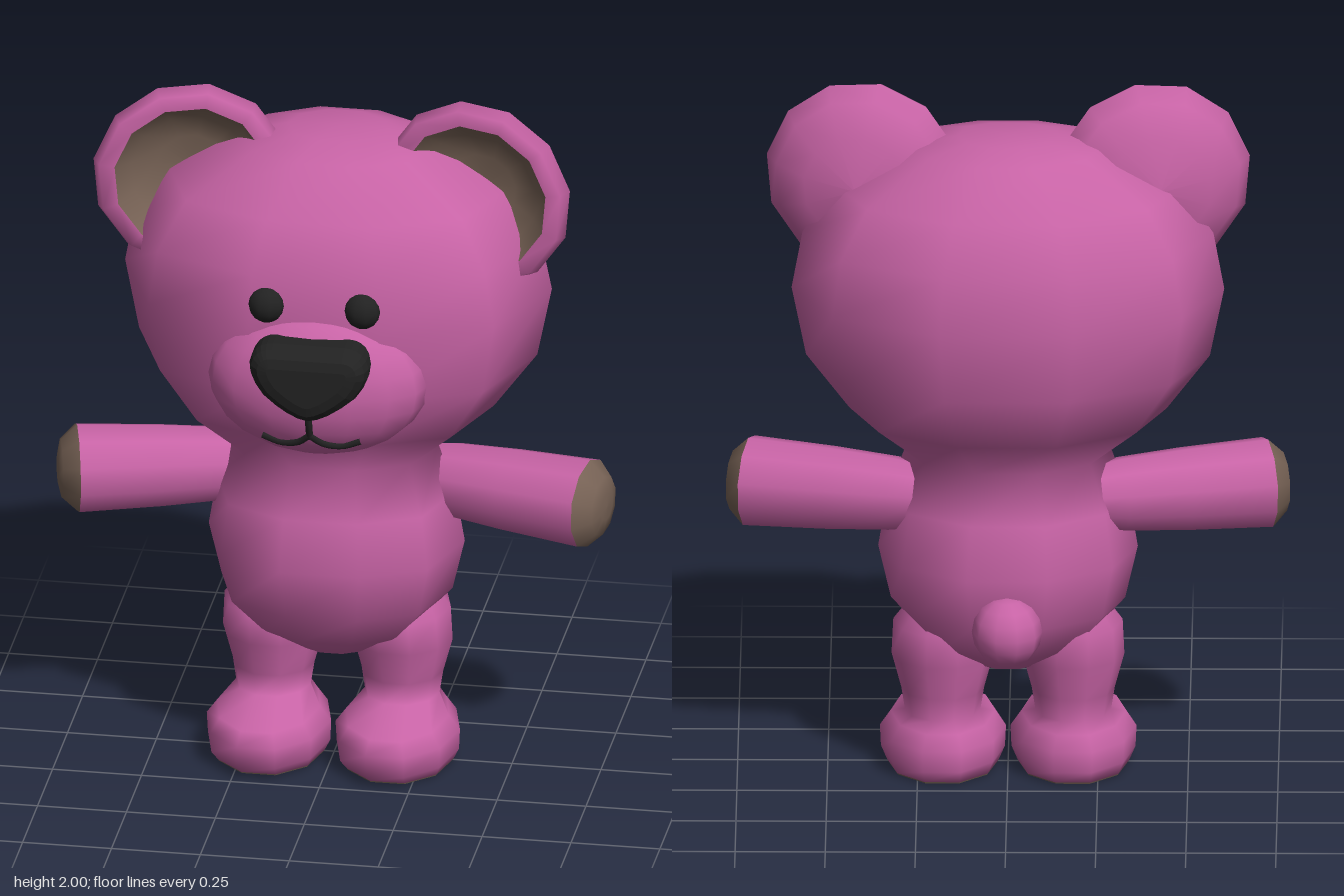
import * as THREE from 'three';

const pink = new THREE.MeshStandardMaterial({ color: 0xc763a5 });
pink.name = 'pink fur';
const brown = new THREE.MeshStandardMaterial({ color: 0x786356 });
brown.name = 'brown pads';
const black = new THREE.MeshStandardMaterial({ color: 0x222222 });
black.name = 'black features';

const SIDES = 10;

// Closed smooth loft through rings [y, rx, zFront, zBack], listed bottom to top
function loft(rings, cx = 0, frontPow = 1) {
  const pos = [], idx = [], n = SIDES, last = (rings.length - 1) * n;
  const flat = Math.cos(Math.PI / n);
  for (const [y, rx, zf, zb] of rings) {
    for (let i = 0; i < n; i++) {
      const a = ((i + 0.5) / n) * Math.PI * 2, c = Math.cos(a) / flat;
      const k = Math.sign(c) * Math.pow(Math.abs(c), c > 0 ? frontPow : 1);
      pos.push(cx + rx * Math.sin(a), y, (zf + zb) / 2 + k * (zf - zb) / 2);
    }
  }
  for (let r = 0; r < rings.length - 1; r++) {
    for (let i = 0; i < n; i++) {
      const a = r * n + i, b = r * n + (i + 1) % n;
      idx.push(a, b, b + n, a, b + n, a + n);
    }
  }
  const bottom = pos.length / 3, top = bottom + 1, end = rings[rings.length - 1];
  pos.push(cx, rings[0][0], (rings[0][2] + rings[0][3]) / 2);
  pos.push(cx, end[0] + 0.005, (end[2] + end[3]) / 2);
  for (let i = 0; i < n; i++) {
    const j = (i + 1) % n;
    idx.push(bottom, j, i, top, last + i, last + j);
  }
  const g = new THREE.BufferGeometry();
  g.setAttribute('position', new THREE.Float32BufferAttribute(pos, 3));
  g.setIndex(idx);
  g.computeVertexNormals();
  return g;
}

function add(parent, name, geometry, material) {
  const m = new THREE.Mesh(geometry, material);
  m.name = name;
  parent.add(m);
  return m;
}

function ball(parent, name, material, p, r, w = 10, h = 8) {
  const m = add(parent, name, new THREE.SphereGeometry(1, w, h), material);
  m.position.set(...p);
  m.scale.set(...r);
  return m;
}

const lathe = (pts, n) => new THREE.LatheGeometry(pts.map(p => new THREE.Vector2(...p)), n);

// Group whose local y axis points along dir
function aimed(parent, name, p, dir) {
  const g = new THREE.Group();
  g.name = name;
  g.position.set(...p);
  g.quaternion.setFromUnitVectors(new THREE.Vector3(0, 1, 0), new THREE.Vector3(...dir).normalize());
  parent.add(g);
  return g;
}

// Muzzle centre and radii, and a point lying on its front
const MC = [0, 1.255, 0.27], MR = [0.31, 0.218, 0.165];
function onMuzzle(x, y) {
  const k = 1 - (x / MR[0]) ** 2 - ((y - MC[1]) / MR[1]) ** 2;
  return new THREE.Vector3(x, y, MC[2] + MR[2] * Math.sqrt(Math.max(k, 0)));
}

export function createModel() {
  const model = new THREE.Group();
  model.name = 'teddyBear';

  // Torso and head in one continuous skin
  add(model, 'torsoAndHead', loft([
    [0.32, 0.10, 0.05, -0.14],
    [0.39, 0.225, 0.14, -0.25],
    [0.50, 0.325, 0.225, -0.32],
    [0.65, 0.36, 0.26, -0.345],
    [0.80, 0.335, 0.235, -0.31],
    [0.94, 0.285, 0.18, -0.265],
    [1.06, 0.44, 0.275, -0.385],
    [1.22, 0.56, 0.33, -0.46],
    [1.42, 0.60, 0.337, -0.48],
    [1.58, 0.57, 0.33, -0.455],
    [1.72, 0.48, 0.265, -0.395],
    [1.84, 0.27, 0.13, -0.26],
    [1.87, 0.14, 0.03, -0.18],
  ], 0, 0.7), pink);

  // Face
  ball(model, 'muzzle', pink, MC, MR, 16, 12);
  const noseShape = new THREE.Shape();
  noseShape.moveTo(0, 1.195);
  noseShape.quadraticCurveTo(0.055, 1.2, 0.13, 1.27);
  noseShape.quadraticCurveTo(0.185, 1.34, 0.16, 1.385);
  noseShape.quadraticCurveTo(0.14, 1.42, 0.1, 1.42);
  noseShape.lineTo(-0.1, 1.42);
  noseShape.quadraticCurveTo(-0.14, 1.42, -0.16, 1.385);
  noseShape.quadraticCurveTo(-0.185, 1.34, -0.13, 1.27);
  noseShape.quadraticCurveTo(-0.055, 1.2, 0, 1.195);
  const nose = new THREE.ExtrudeGeometry(noseShape, {
    depth: 0.06, bevelThickness: 0.055, bevelSize: 0.055, bevelOffset: -0.055, bevelSegments: 3, curveSegments: 4,
  });
  add(model, 'nose', nose, black).position.z = 0.36;
  const line = (name, pts) => add(model, name, new THREE.TubeGeometry(
    new THREE.CatmullRomCurve3(pts.map(p => onMuzzle(...p))), 10, 0.01, 6), black);
  line('mouthStem', [[0, 1.23], [0, 1.18], [0, 1.135]]);

  for (const s of [1, -1]) {
    const side = s > 0 ? 'left' : 'right';
    line(side + 'Mouth', [[0, 1.145], [s * 0.035, 1.115], [s * 0.085, 1.105], [s * 0.138, 1.122]]);
    ball(model, side + 'Eye', black, [s * 0.135, 1.495, 0.325], [0.053, 0.053, 0.045]);

    // Cupped ear, turned slightly inward
    const ear = aimed(model, side + 'Ear', [s * 0.4, 1.725, 0], [-s * 0.17, 0, 0.98]);
    add(ear, side + 'EarShell', lathe([
      [0, -0.14], [0.15, -0.12], [0.24, -0.06], [0.277, -0.005], [0.262, 0.035], [0.218, 0.035],
    ], 12), pink);
    add(ear, side + 'EarInner', lathe([[0.218, 0.035], [0.17, -0.015], [0.1, -0.045], [0, -0.055]], 12), brown);

    // Arm reaching out and a little forward, with a padded paw
    const arm = aimed(model, side + 'Arm', [s * 0.2, 0.817, -0.11], [s * 0.97, 0, 0.243]);
    add(arm, side + 'Sleeve', lathe([[0.085, 0], [0.105, 0.12], [0.118, 0.3], [0.128, 0.535]], SIDES), pink);
    add(arm, side + 'Paw', lathe([[0.128, 0.535], [0.085, 0.58], [0.04, 0.59], [0, 0.592]], SIDES), brown);

    // Leg with foot and sole
    add(model, side + 'Leg', loft([
      [0.004, 0.155, 0.19, -0.19],
      [0.04, 0.172, 0.235, -0.21],
      [0.10, 0.175, 0.24, -0.21],
      [0.142, 0.145, 0.222, -0.185],
      [0.175, 0.105, 0.045, -0.165],
      [0.24, 0.115, 0.05, -0.175],
      [0.34, 0.142, 0.075, -0.195],
      [0.44, 0.137, 0.1, -0.215],
      [0.52, 0.07, 0, -0.15],
    ], s * 0.181), pink);
    const sole = loft([[0, 0.153, 0.188, -0.188], [0.004, 0.155, 0.19, -0.19]], s * 0.181).toNonIndexed();
    sole.computeVertexNormals();
    add(model, side + 'Sole', sole, brown);
  }

  // Tail
  ball(model, 'tail', pink, [0, 0.5, -0.333], [0.098, 0.1, 0.098]);
  return model;
}
